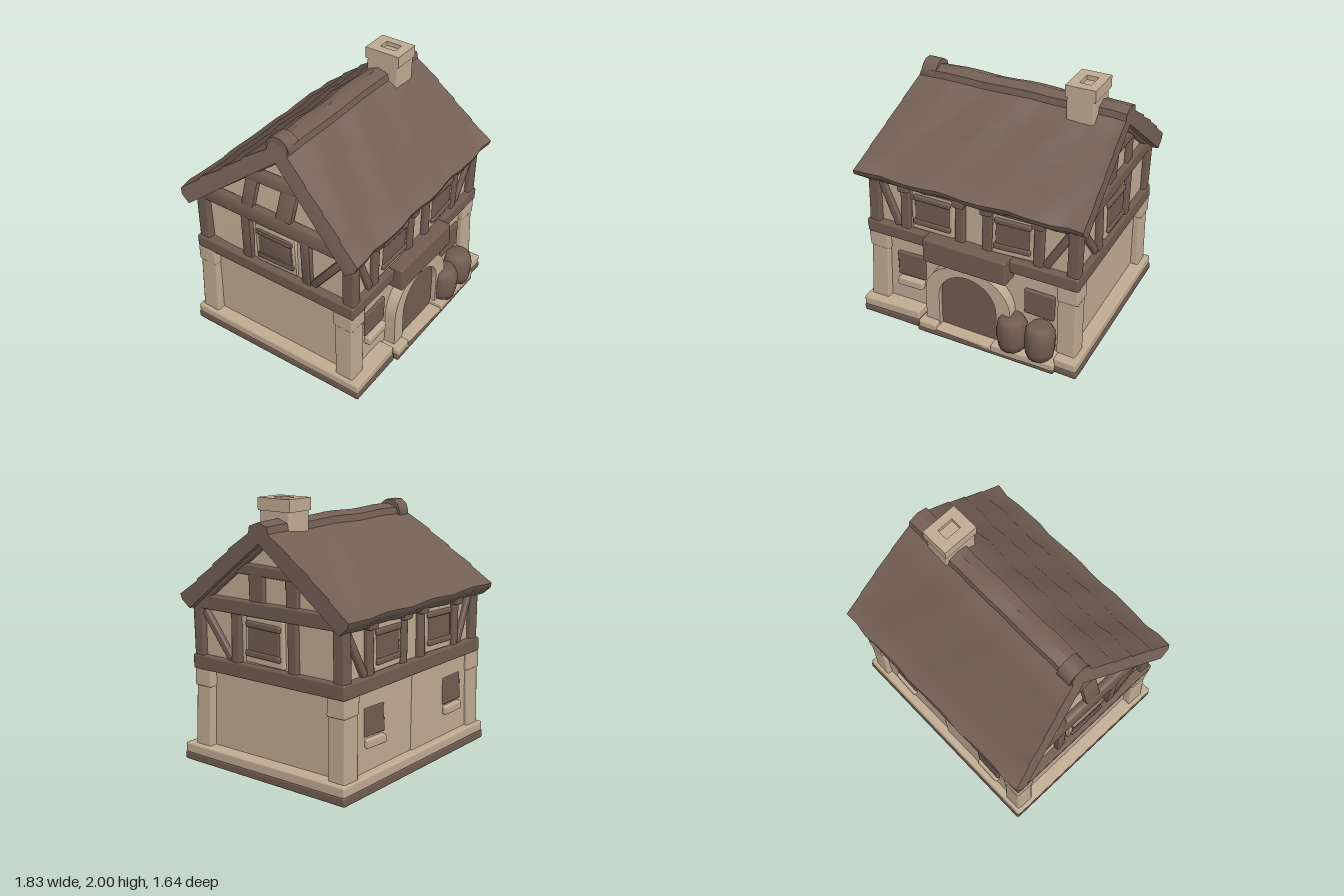
import * as THREE from 'three';
import { toCreasedNormals } from 'three/addons/utils/BufferGeometryUtils.js';
import { RoundedBoxGeometry } from 'three/addons/geometries/RoundedBoxGeometry.js';

const mat = (name, color) => Object.assign(new THREE.MeshStandardMaterial({ color }), { name });
const plaster = mat('plaster', 0xbeab92);
const timber = mat('timber', 0x705c50);
const shingle = mat('shingle', 0x735f54);

const ZC = -0.04; // ridge line of the house
const lean = (y) => Math.max(0, y - 1.22) * 0.33; // the -x gable leans inwards

// Move every vertex by a rule
function warp(geo, rule) {
  const p = geo.attributes.position;
  const v = new THREE.Vector3();
  for (let i = 0; i < p.count; i++) {
    v.fromBufferAttribute(p, i);
    rule(v);
    p.setXYZ(i, v.x, v.y, v.z);
  }
  return geo;
}

// Slight hand-hewn unevenness
const uneven = (v) => {
  const { x, y, z } = v;
  v.x += 0.005 * Math.sin(9 * y + 5 * z);
  if (y > 0.03) v.y += 0.005 * Math.sin(8 * x + 6 * z);
  v.z += 0.005 * Math.sin(7 * x + 8 * y);
};

function add(parent, name, geo, material) {
  const mesh = new THREE.Mesh(geo, material);
  mesh.name = name;
  parent.add(mesh);
}

// Softened box between two opposite corners
function boxGeo(x0, x1, y0, y1, z0, z1) {
  const s = [x1 - x0, y1 - y0, z1 - z0].map(Math.abs);
  const geo = new RoundedBoxGeometry(...s, 1, Math.min(0.015, Math.min(...s) * 0.3));
  return geo.translate((x0 + x1) / 2, (y0 + y1) / 2, (z0 + z1) / 2);
}
const box = (parent, name, m, ...b) => add(parent, name, warp(boxGeo(...b), uneven), m);
const polygon = (points, Type = THREE.Shape) => new Type(points.map((p) => new THREE.Vector2(...p)));

// Upright rectangular tube: outer and inner [x0, x1, z0, z1]
function tube(parent, name, m, outer, inner, y, height) {
  const corners = ([x0, x1, z0, z1]) => [[x0, -z1], [x1, -z1], [x1, -z0], [x0, -z0]];
  const shape = polygon(corners(outer));
  shape.holes.push(polygon(corners(inner).reverse(), THREE.Path));
  const geo = new THREE.ExtrudeGeometry(shape, { depth: height, bevelEnabled: false });
  add(parent, name, geo.rotateX(-Math.PI / 2).translate(0, y, 0), m);
}

// Wall faces: u runs along the wall, d is the depth out of it
const faces = {
  front: { axis: 'z', sign: 1, at: 0.62 },
  back: { axis: 'z', sign: -1, at: 0.69 },
  right: { axis: 'x', sign: 1, at: 0.82 },
  left: { axis: 'x', sign: -1, at: 0.80 },
};
function finishOn(face, geo) {
  warp(geo, uneven);
  if (face !== 'left') return geo;
  return toCreasedNormals(warp(geo, (v) => { v.x += lean(v.y); }), 0.7);
}
function onWall(parent, name, m, face, u0, u1, y0, y1, d0, d1) {
  const { axis, sign, at } = faces[face];
  const a = sign * (at + d0), b = sign * (at + d1);
  const geo = axis === 'z' ? boxGeo(u0, u1, y0, y1, a, b) : boxGeo(a, b, y0, y1, u0, u1);
  add(parent, name, finishOn(face, geo), m);
}
// Slanted timber between two points of a wall
function brace(parent, name, face, u0, y0, u1, y1, w, d = 0.03) {
  const { axis, sign, at } = faces[face];
  const len = Math.hypot(u1 - u0, y1 - y0);
  const geo = boxGeo(-len / 2, len / 2, -w / 2, w / 2, -d, d);
  geo.rotateZ(Math.atan2(y1 - y0, u1 - u0));
  if (axis === 'x') geo.rotateY(-Math.PI / 2);
  const u = (u0 + u1) / 2, y = (y0 + y1) / 2;
  if (axis === 'z') geo.translate(u, y, sign * at);
  else geo.translate(sign * at, y, u);
  add(parent, name, finishOn(face, geo), timber);
}
// Shuttered window with plaster frame and timber lips
function upperWindow(parent, face, u, w) {
  const g = new THREE.Group();
  g.name = face + 'Window';
  parent.add(g);
  const h = w / 2;
  onWall(g, 'windowFrame', plaster, face, u - h - 0.03, u + h + 0.03, 0.84, 1.18, -0.02, 0.025);
  onWall(g, 'shutter', timber, face, u - h, u + h, 0.89, 1.14, -0.01, 0.035);
  for (const y of [0.89, 1.1]) onWall(g, 'shutterRail', timber, face, u - h - 0.01, u + h + 0.01, y, y + 0.045, 0, 0.048);
}
function lowerWindow(parent, face, u, y, d, sillDepth) {
  onWall(parent, 'shutter', timber, face, u - 0.12, u + 0.12, y, y + 0.215, -0.02, d);
  if (sillDepth) onWall(parent, 'sill', plaster, face, u - 0.11, u + 0.11, y - 0.08, y - 0.01, -0.02, sillDepth);
}

// Extrude a (z, y) profile along x between two ends
function alongX(points, x0, x1, steps, crease, rule) {
  const shape = polygon(points.map(([z, y]) => [-z, y]));
  const geo = new THREE.ExtrudeGeometry(shape, { depth: 1, steps, bevelEnabled: false });
  geo.rotateY(Math.PI / 2);
  warp(geo, (v) => {
    const left = x0 + lean(v.y);
    v.x = left + (x1 - left) * v.x;
    if (rule) rule(v);
  });
  return toCreasedNormals(geo, crease);
}

function archShape(w, spring, top, base) {
  const s = new THREE.Shape();
  s.moveTo(-w, base).lineTo(w, base).lineTo(w, spring);
  s.absellipse(0, spring, w, top - spring, 0, Math.PI, false);
  s.lineTo(-w, base);
  return s;
}
function archSlab(parent, name, m, shape, z0, depth) {
  const geo = new THREE.ExtrudeGeometry(shape, { depth, curveSegments: 10, bevelEnabled: false });
  add(parent, name, toCreasedNormals(geo, 0.6).translate(0, 0, z0), m);
}

function buildBase(house) {
  // Plinth: dark footing below a pale stone course, low at the doorstep
  const runs = [
    [-0.90, -0.40, 0.59, 0.75], [0.72, 0.91, 0.59, 0.75], [-0.90, 0.91, -0.78, -0.65],
    [-0.90, -0.77, -0.70, 0.66], [0.77, 0.91, -0.70, 0.66],
  ];
  for (const [x0, x1, z0, z1] of runs) {
    box(house, 'footing', timber, x0, x1, 0, 0.065, z0, z1);
    box(house, 'plinth', plaster, x0 + 0.005, x1 - 0.005, 0.055, 0.135, z0 + 0.005, z1 - 0.005);
  }
  box(house, 'stepFooting', timber, -0.40, 0.74, 0, 0.045, 0.59, 0.78);
  for (const [x0, x1] of [[-0.39, -0.24], [0.23, 0.74]]) box(house, 'step', plaster, x0, x1, 0.03, 0.095, 0.59, 0.78);
  box(house, 'doorstep', plaster, -0.25, 0.24, 0.025, 0.06, 0.59, 0.77);

  // Ground floor walls with a dark lining and ceiling, open underneath
  tube(house, 'groundWalls', plaster, [-0.8, 0.8, -0.69, 0.62], [-0.77, 0.77, -0.66, 0.59], 0.04, 0.7);
  tube(house, 'lining', timber, [-0.775, 0.775, -0.665, 0.595], [-0.76, 0.76, -0.65, 0.58], 0.03, 0.7);
  add(house, 'ceiling', boxGeo(-0.77, 0.77, 0.72, 0.75, -0.66, 0.59), timber);

  // Two overlapping panels on the back wall
  onWall(house, 'backPanel', plaster, 'back', -0.83, 0.02, 0.1, 0.74, -0.02, 0.025);
  onWall(house, 'backPanel', plaster, 'back', 0, 0.74, 0.1, 0.74, -0.02, 0.012);

  // Corner piers wrapped round the walls, flared at the foot, with a wider head
  for (const sx of [-1, 1]) for (const [sz, z] of [[1, 0.66], [-1, -0.735]]) {
    for (const [w, t] of [[0.08, 0.15], [0.15, 0.07]]) {
      const x = sx * 0.85;
      const geo = warp(boxGeo(x - sx * w, x, 0.12, 0.66, z - sz * t, z), (v) => {
        if (v.y > 0.3) return;
        v.x += sx * 0.015;
        v.z += sz * 0.012;
      });
      add(house, 'cornerPier', warp(geo, uneven), plaster);
      box(house, 'pierHead', plaster, x - sx * (w + 0.005), x + sx * 0.012, 0.59, 0.73, z - sz * (t + 0.005), z + sz * 0.008);
    }
  }
  lowerWindow(house, 'front', -0.52, 0.37, 0.02, 0.055);
  lowerWindow(house, 'front', 0.55, 0.37, 0.02, 0);
  lowerWindow(house, 'back', 0.48, 0.39, 0.024, 0.045);
  lowerWindow(house, 'back', -0.5, 0.39, 0.036, 0.055);

  // Arched door, also framed on the inside
  const surround = archShape(0.355, 0.36, 0.655, 0.04);
  surround.holes.push(archShape(0.24, 0.34, 0.575, 0.04));
  archSlab(house, 'doorSurround', plaster, surround, 0.61, 0.1);
  archSlab(house, 'innerDoorFrame', timber, surround, 0.565, 0.02);
  archSlab(house, 'door', timber, archShape(0.245, 0.34, 0.58, 0.05), 0.575, 0.095);
  box(house, 'doorBeam', timber, -0.34, 0.34, 0.645, 0.84, 0.6, 0.75);

  // Barrels beside the door
  const profile = [[0, 0.09], [0.1, 0.09], [0.113, 0.15], [0.116, 0.24], [0.11, 0.31], [0.085, 0.35], [0, 0.345]];
  for (const x of [0.37, 0.595]) {
    const geo = new THREE.LatheGeometry(profile.map((p) => new THREE.Vector2(...p)), 12);
    add(house, 'barrel', geo.translate(x, 0, 0.7), timber);
  }
}

function buildUpper(house) {
  // Upper walls with both gables in one profile
  const wall = [[0.62, 0.76], [0.62, 1.22], [ZC, 1.75], [-0.69, 1.22], [-0.69, 0.76]];
  add(house, 'upperWalls', alongX(wall, -0.8, 0.82, 1, 0.5), plaster);
  box(house, 'floorBand', timber, -0.86, 0.87, 0.72, 0.83, -0.745, 0.675);
  for (const x of [-0.795, 0.815]) for (const z of [0.615, -0.685])
    box(house, 'cornerPost', timber, x - 0.045, x + 0.045, 0.8, 1.24, z - 0.048, z + 0.048);

  for (const f of ['front', 'back']) {
    onWall(house, 'topRail', timber, f, -0.82, 0.85, 1.17, 1.25, -0.03, 0.035);
    for (const u of [-0.535, -0.08, 0.14, 0.545]) {
      onWall(house, 'post', timber, f, u - 0.038, u + 0.038, 0.81, 1.2, -0.02, 0.035);
      onWall(house, 'eaveBracket', timber, f, u - 0.045, u + 0.045, 1.15, 1.21, 0, 0.07);
    }
    brace(house, 'brace', f, -0.74, 1.18, -0.59, 0.83, 0.06);
    brace(house, 'brace', f, 0.79, 1.18, 0.6, 0.83, 0.06);
    upperWindow(house, f, -0.305, 0.29);
    upperWindow(house, f, 0.345, 0.27);
  }

  for (const f of ['right', 'left']) {
    for (const u of [0.25, -0.28]) onWall(house, 'post', timber, f, u - 0.042, u + 0.042, 0.81, 1.2, -0.02, 0.035);
    brace(house, 'brace', f, 0.56, 1.17, 0.3, 0.83, 0.06);
    upperWindow(house, f, -0.02, 0.3);
    onWall(house, 'gableRail', timber, f, -0.72, 0.65, 1.18, 1.29, -0.02, 0.04);
    onWall(house, 'collarBeam', timber, f, -0.34, 0.27, 1.47, 1.55, -0.02, 0.035);
    for (const [a, b] of [[-0.02, 0.12], [-0.325, -0.215]]) onWall(house, 'gablePost', timber, f, a, b, 1.27, 1.49, -0.02, 0.03);
    for (const s of [1, -1]) brace(house, 'rafter', f, ZC + s * 0.67, 1.22, ZC, 1.74, 0.09, 0.04);
  }
}

function buildRoof(house) {
  // Ridge roll and shallow stepped shingle courses mirrored about the ridge
  const slope = (d) => 1.85 - 0.76 * d;
  const half = [[0.08, 1.832], [0.09, slope(0.09)]];
  for (const d of [0.27, 0.43, 0.6]) half.push([d, slope(d) + 0.012], [d + 0.009, slope(d) - 0.008]);
  half.push([0.775, 1.27], [0.76, 1.23], [0.69, 1.175]);
  const side = (s) => half.map(([d, y]) => [ZC + s * d, y]);
  const profile = [[ZC, 1.86], ...side(1), [ZC, 1.715], ...side(-1).reverse()];
  const roof = alongX(profile, -0.92, 0.91, 16, 0.68, (v) => {
    const d = v.z - ZC;
    const wave = 0.008 * Math.sin(13 * v.x + 9 * d) + 0.005 * Math.sin(29 * v.x);
    v.z += Math.sign(d) * wave * Math.min(1, Math.abs(d) * 4);
    v.y += 0.005 * Math.sin(11 * v.x + 5 * d);
  });
  add(house, 'roof', roof, shingle);
  // Ridge end cap
  const cap = new THREE.CylinderGeometry(0.1, 0.1, 0.12, 10).rotateZ(Math.PI / 2);
  add(house, 'ridgeCap', toCreasedNormals(cap, 0.9).translate(-0.655, 1.793, -0.05), shingle);

  // Chimney with a shallow flue
  const chimney = new THREE.Group();
  chimney.name = 'chimney';
  house.add(chimney);
  box(chimney, 'chimneyStack', plaster, 0.495, 0.707, 1.7, 1.97, -0.142, 0.13);
  tube(chimney, 'chimneyRim', plaster, [0.487, 0.715, -0.152, 0.138], [0.56, 0.65, -0.07, 0.06], 1.91, 0.09);
}

export function createModel() {
  const house = new THREE.Group();
  house.name = 'cottage';
  buildBase(house);
  buildUpper(house);
  buildRoof(house);
  return house;
}
